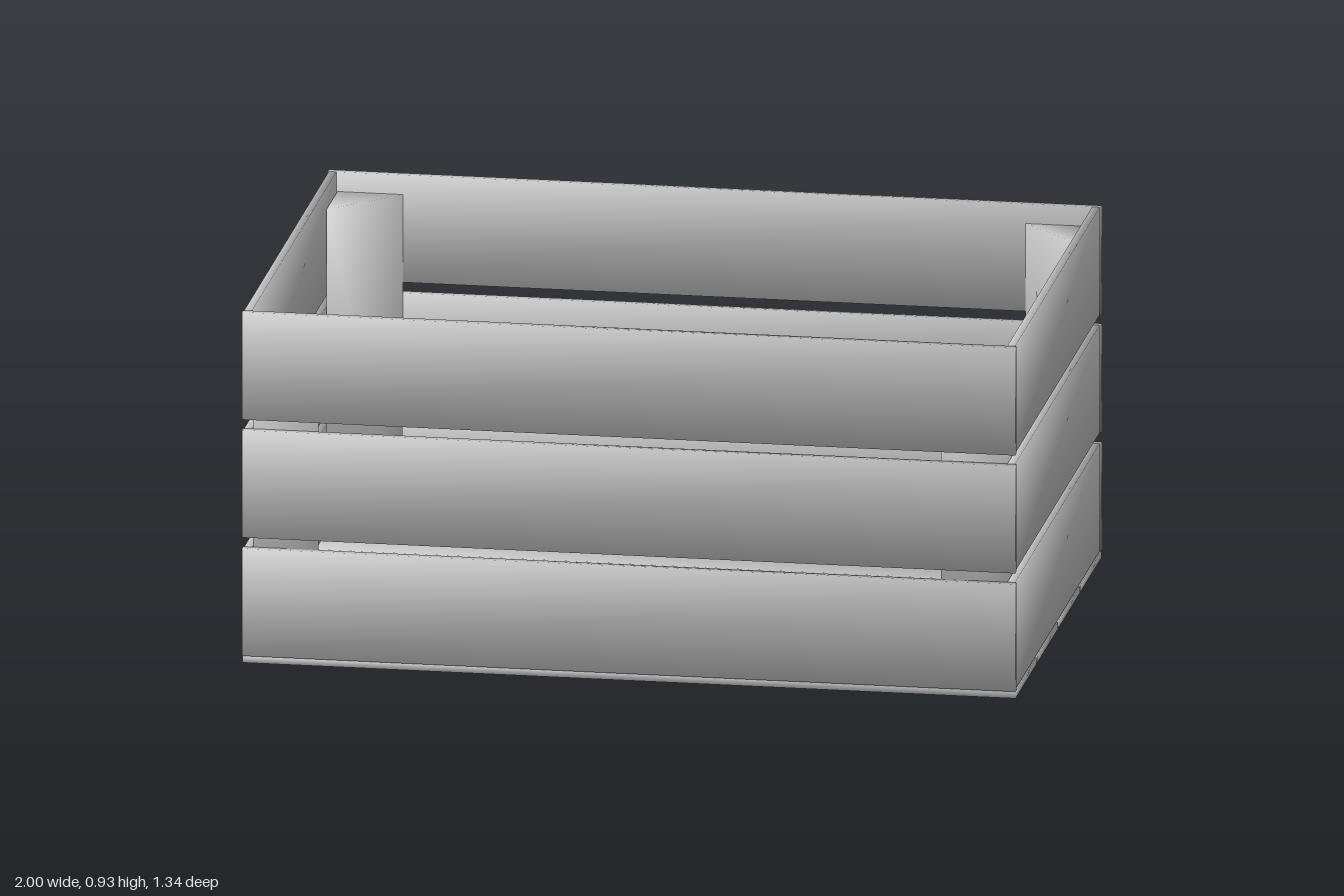
import * as THREE from 'three';

const material = new THREE.MeshStandardMaterial({ color: 0xcccccc });

// Blend the face normals meeting at each corner, for soft shading over few faces
function softenCorners(geometry) {
  const g = geometry.index ? geometry.toNonIndexed() : geometry;
  const pos = g.attributes.position, nor = g.attributes.normal;
  const corners = new Map();
  const key = (i) => [pos.getX(i), pos.getY(i), pos.getZ(i)].map((v) => Math.round(v * 1e4)).join();
  for (let i = 0; i < pos.count; i++) {
    const n = new THREE.Vector3().fromBufferAttribute(nor, i);
    const list = corners.get(key(i)) ?? [];
    if (!list.some((m) => m.dot(n) > 0.99)) list.push(n);
    corners.set(key(i), list);
  }
  for (let i = 0; i < pos.count; i++) {
    const sum = new THREE.Vector3();
    corners.get(key(i)).forEach((n) => sum.add(n));
    sum.normalize();
    nor.setXYZ(i, sum.x, sum.y, sum.z);
  }
  return g;
}

// Flat board given by its extents along each axis
function board(name, [x0, x1], [y0, y1], [z0, z1]) {
  const mesh = new THREE.Mesh(softenCorners(new THREE.BoxGeometry(x1 - x0, y1 - y0, z1 - z0)), material);
  mesh.position.set((x0 + x1) / 2, (y0 + y1) / 2, (z0 + z1) / 2);
  mesh.name = name;
  return mesh;
}

// Upright triangular post set into a corner
function cornerPost(sx, sz) {
  const shape = new THREE.Shape([
    new THREE.Vector2(sx * 0.975, -sz * 0.65),
    new THREE.Vector2(sx * 0.805, -sz * 0.65),
    new THREE.Vector2(sx * 0.975, -sz * 0.48),
  ]);
  const g = new THREE.ExtrudeGeometry(shape, { depth: 0.86, bevelEnabled: false });
  g.rotateX(-Math.PI / 2).translate(0, 0.02, 0);
  const mesh = new THREE.Mesh(softenCorners(g), material);
  mesh.name = 'cornerPost';
  return mesh;
}

export function createModel() {
  const crate = new THREE.Group();
  crate.name = 'slattedCrate';

  // Three rows of wall slats
  for (const y0 of [0.02, 0.334, 0.647]) {
    const y = [y0, y0 + 0.285];
    crate.add(
      board('frontSlat', [-1, 1], y, [0.65, 0.668]),
      board('backSlat', [-1, 1], y, [-0.668, -0.65]),
      board('leftSlat', [0.977, 0.997], y, [-0.65, 0.65]),
      board('rightSlat', [-0.997, -0.977], y, [-0.65, 0.65]),
    );
  }

  // Four floor boards with narrow gaps
  for (let i = 0; i < 4; i++) {
    const z0 = -0.66 + i * 0.334;
    crate.add(board('floorBoard', [-1, 1], [0, 0.018], [z0, z0 + 0.318]));
  }

  // Corner posts joining the walls
  for (const sx of [-1, 1]) for (const sz of [-1, 1]) crate.add(cornerPost(sx, sz));

  return crate;
}
